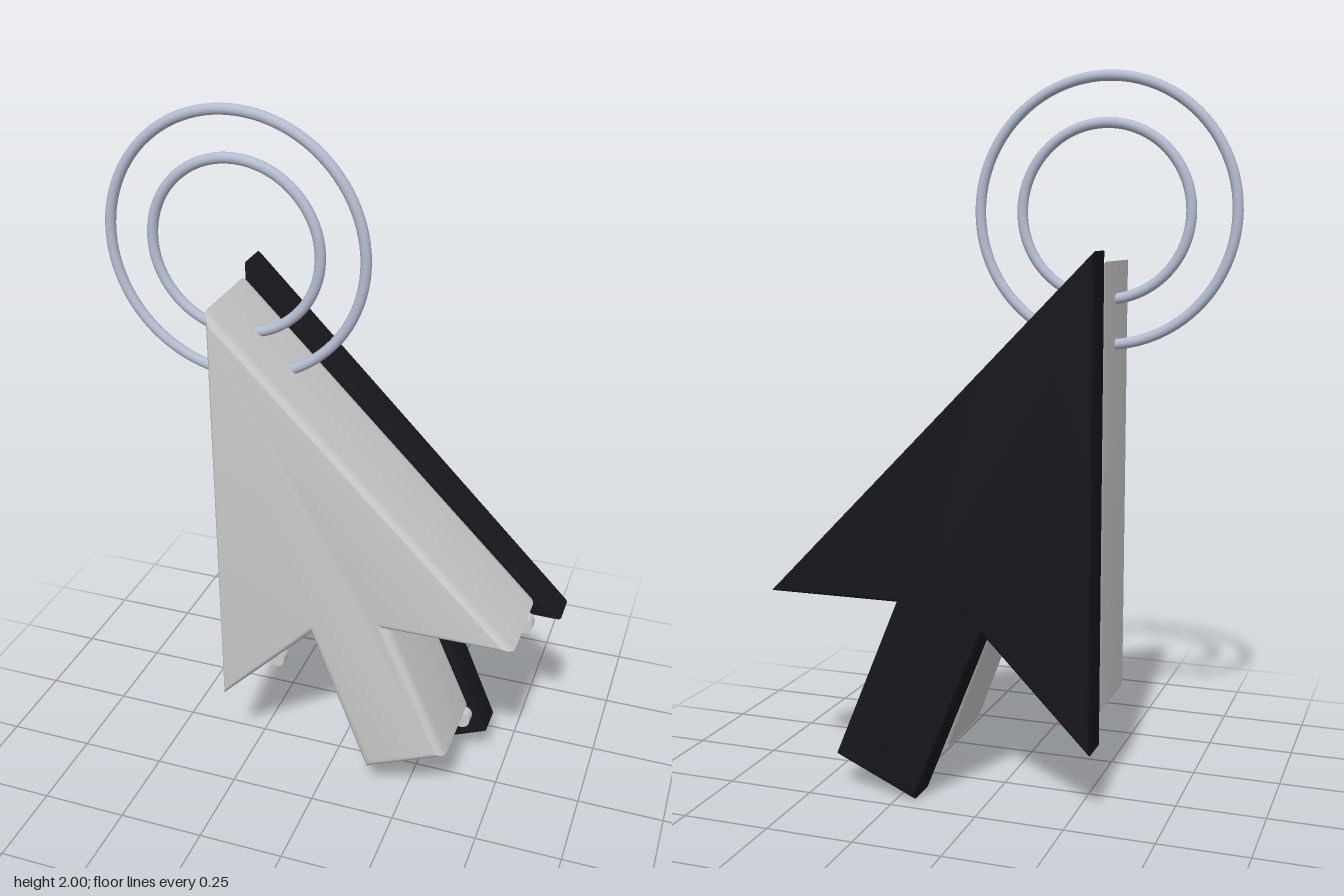
import * as THREE from 'three';
import { toCreasedNormals } from 'three/addons/utils/BufferGeometryUtils.js';

// Solid with rounded rims whose outer outline is exactly the given points
function slab(name, points, zBack, zFront, bevel, material) {
  const shape = new THREE.Shape(points.map(([x, y]) => new THREE.Vector2(x, y)));
  const geometry = new THREE.ExtrudeGeometry(shape, {
    depth: zFront - zBack - 2 * bevel,
    bevelEnabled: true,
    bevelSize: bevel,
    bevelThickness: bevel,
    bevelOffset: -bevel,
    bevelSegments: 5,
  });
  geometry.translate(0, 0, zBack + bevel);
  const mesh = new THREE.Mesh(toCreasedNormals(geometry, 0.6), material);
  mesh.name = name;
  return mesh;
}

export function createModel() {
  const model = new THREE.Group();
  model.name = 'arrowPointer';

  const grey = new THREE.MeshStandardMaterial({ color: 0xcccccc });
  const black = new THREE.MeshStandardMaterial({ color: 0x17171d });
  const steel = new THREE.MeshStandardMaterial({ color: 0xb4bccf });

  // Dark backing plate, slightly larger than the arrow
  model.add(slab('backPlate', [
    [-0.305, 0.195], [0, 0.505], [0.2, 0.005], [0.44, 0.11],
    [0.25, 0.57], [0.635, 0.57], [-0.305, 1.53],
  ], -0.205, -0.085, 0.018, black));

  // Thick arrow body
  model.add(slab('arrowBody', [
    [-0.298, 0.275], [-0.018, 0.56], [0.148, 0.12], [0.385, 0.225],
    [0.21, 0.627], [0.56, 0.635], [-0.298, 1.5],
  ], -0.085, 0.205, 0.032, grey));

  // Small studs on the exposed rim of the plate
  const headGeometry = new THREE.CylinderGeometry(0.026, 0.026, 0.036, 24).rotateX(Math.PI / 2);
  const neckGeometry = new THREE.CylinderGeometry(0.012, 0.012, 0.04, 16).rotateX(Math.PI / 2);
  for (const [x, y] of [[0.54, 0.57], [-0.218, 0.265], [0.205, 0.11], [0.375, 0.185]]) {
    const stud = new THREE.Group();
    stud.name = 'stud';
    const head = new THREE.Mesh(headGeometry, grey);
    head.name = 'studHead';
    head.position.z = -0.05;
    const neck = new THREE.Mesh(neckGeometry, grey);
    neck.name = 'studNeck';
    neck.position.z = -0.075;
    stud.add(head, neck);
    stud.position.set(x, y, 0);
    model.add(stud);
  }

  // Two concentric rings threaded through the arrow tip
  for (const [name, radius] of [['outerRing', 0.356], ['innerRing', 0.234]]) {
    const ring = new THREE.Mesh(new THREE.TorusGeometry(radius, 0.0145, 16, 96), steel);
    ring.name = name;
    ring.position.set(-0.265, 1.63, 0.057);
    model.add(ring);
  }

  return model;
}
